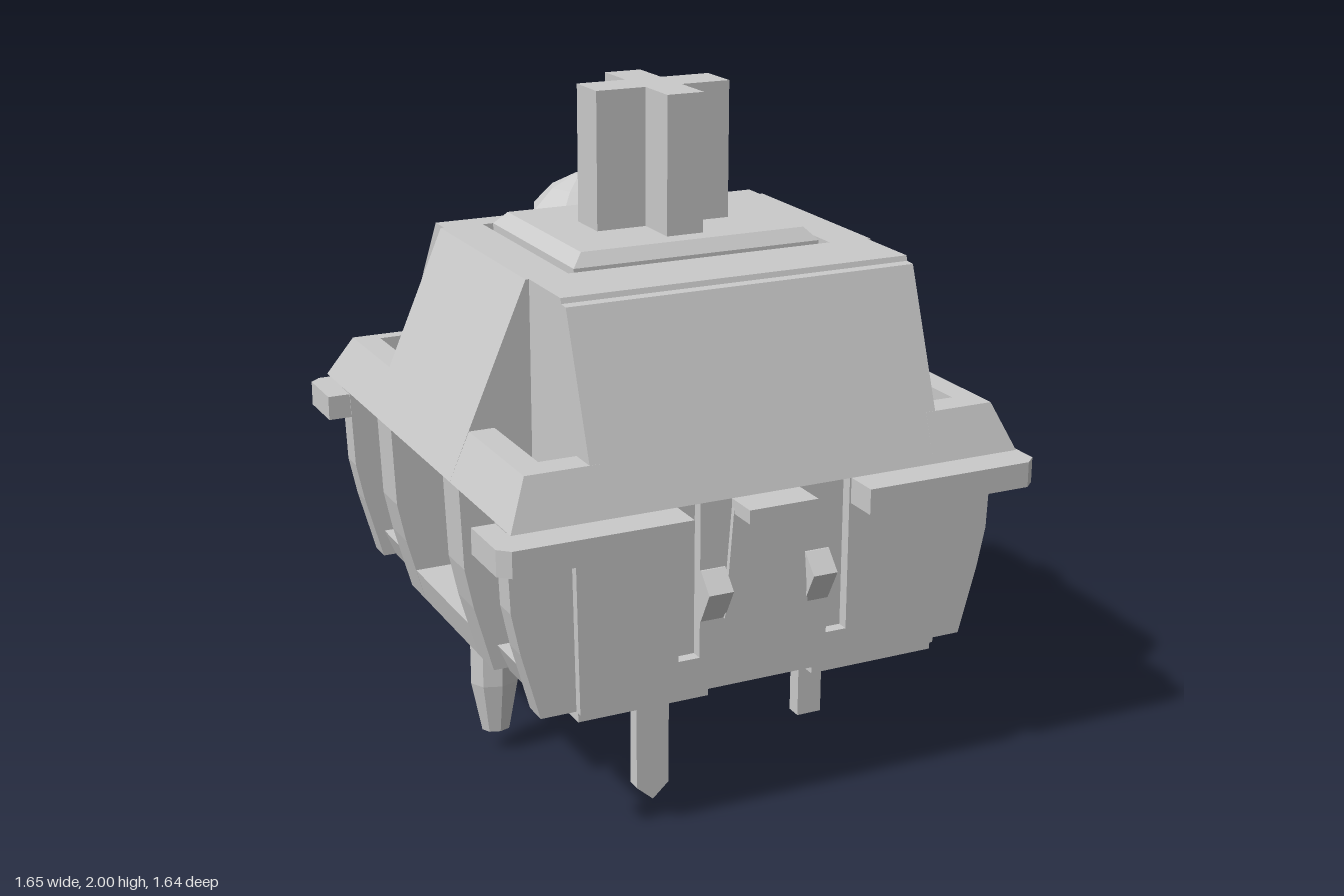
import * as THREE from 'three';

export function createModel() {
  const model = new THREE.Group();
  model.name = 'keySwitch';
  const grey = new THREE.MeshStandardMaterial({ color: 0xcacaca });
  grey.name = 'plain grey';

  const add = (name, geometry, x = 0, y = 0, z = 0) => {
    const flat = geometry.index ? geometry.toNonIndexed() : geometry;
    flat.computeVertexNormals();
    const mesh = new THREE.Mesh(flat, grey);
    mesh.name = name;
    mesh.position.set(x, y, z);
    model.add(mesh);
    return mesh;
  };
  const shapeOf = pts => new THREE.Shape(pts.map(p => new THREE.Vector2(p[0], p[1])));
  const extrude = (pts, depth) => new THREE.ExtrudeGeometry(shapeOf(pts), { depth, bevelEnabled: false });
  // [z, y] profile swept from x0 to x1
  const alongX = (name, pts, x0, x1) => add(name, extrude(pts, x1 - x0).rotateY(-Math.PI / 2), x1);
  // [x, z] outline swept from y0 to y1
  const alongY = (name, pts, y0, y1) => add(name, extrude(pts, y1 - y0).rotateX(Math.PI / 2), 0, y1);
  // [x, y] outline swept from z0 to z1
  const alongZ = (name, pts, z0, z1) => add(name, extrude(pts, z1 - z0), 0, 0, z0);
  // Tapered block between two rectangles [x0, x1, z0, z1]
  const block = (name, y0, y1, low, high = low) => {
    const g = new THREE.BoxGeometry(1, 1, 1), p = g.attributes.position;
    for (let i = 0; i < p.count; i++) {
      const r = p.getY(i) > 0 ? high : low;
      p.setXYZ(i, p.getX(i) > 0 ? r[1] : r[0], p.getY(i) > 0 ? y1 : y0, p.getZ(i) > 0 ? r[3] : r[2]);
    }
    return add(name, g);
  };
  // Mirror a range, or a rectangle in x, to the chosen side
  const span = (s, a, b) => (s > 0 ? [a, b] : [-b, -a]);
  const sideRect = (s, [a, b, c, d]) => [...span(s, a, b), c, d];
  const lathe = (name, pts, sides, x, z, sz = 1) =>
    add(name, new THREE.LatheGeometry(pts.map(p => new THREE.Vector2(p[0], p[1])), sides).scale(1, 1, sz), x, 0, z);

  // ---- Upper housing: central body with a well for the stem
  const front = [[0.775, 1.01], [0.58, 1.538], [0.55, 1.54], [0.545, 1.555]];
  alongX('upperBody', [...front, [0.32, 1.555], [0.32, 1.48], [-0.32, 1.48], [-0.32, 1.555],
    [-0.4, 1.555], [-0.4, 1.01]], -0.41, 0.41);

  const rim = 1.147;
  for (const s of [1, -1]) {
    alongX('upperBodySide', [...front, [-0.4, 1.555], [-0.4, 1.01]], ...span(s, 0.41, 0.53));
    // sloping frame beside the lamp recess
    alongX('lampFrame', [[-0.4, 1.01], [-0.4, 1.555], [-0.775, 1.01]], ...span(s, 0.44, 0.53));
    // sloping rib in the middle of each side
    block('sideRib', 1.01, 1.555, sideRect(s, [0.53, 0.775, -0.33, 0.33]), sideRect(s, [0.53, 0.54, -0.33, 0.33]));
    // rim around the corner pockets
    block('sideRim', 1.01, rim, sideRect(s, [0.64, 0.775, -0.775, 0.775]), sideRect(s, [0.64, 0.715, -0.68, 0.725]));
    block('frontRim', 1.01, rim, sideRect(s, [0.5, 0.64, 0.64, 0.775]), sideRect(s, [0.5, 0.64, 0.64, 0.725]));
    block('backRim', 1.01, rim, sideRect(s, [0.12, 0.64, -0.775, -0.635]), sideRect(s, [0.12, 0.64, -0.68, -0.635]));
    // lamp recess floor
    block('recessFloor', 1.01, rim, sideRect(s, [0.12, 0.45, -0.66, -0.39]));
  }
  block('lampNotch', 1.01, 1.06, [-0.13, 0.13, -0.775, -0.39], [-0.13, 0.13, -0.74, -0.39]);

  // ---- Lamp with faceted dome and two leads
  lathe('lamp', [[0, 1.03], [0.14, 1.03], [0.163, 1.15], [0.163, 1.53], [0.1, 1.595], [0.02, 1.635], [0, 1.635]],
    8, 0, -0.52);
  for (const x of [-0.125, 0.125]) block('lampLead', 0, 0.45, [x - 0.028, x + 0.028, -0.545, -0.495]);

  // ---- Stem: slab with bevelled edge and a cross
  block('stemSlab', 1.47, 1.56, [-0.385, 0.385, -0.3, 0.3]);
  block('stemSlabBevel', 1.56, 1.597, [-0.385, 0.385, -0.3, 0.3], [-0.35, 0.35, -0.27, 0.27]);
  block('stemCrossArm', 1.58, 2, [-0.21, 0.21, -0.068, 0.068]);
  alongX('stemNotchedArm', [[0.21, 1.58], [0.21, 2], [-0.21, 2], [-0.21, 1.92], [-0.17, 1.92],
    [-0.17, 1.775], [-0.21, 1.775], [-0.21, 1.58]], -0.057, 0.057);

  // ---- Lower housing core, deeper behind the side windows
  block('lowerCore', 0.43, 1.01, [-0.56, 0.56, -0.68, 0.68]);

  // curved outer profile of the side ribs, and the sills cut from it, [x, y]
  const onSide = (s, pts) => pts.map(([x, y]) => [s * x, y]);
  const rib = [[0.5, 0.43], [0.665, 0.43], [0.72, 0.63], [0.745, 0.75], [0.755, 0.995], [0.5, 0.995]];
  const sill = [[0.5, 0.43], [0.665, 0.43], [0.692, 0.53], [0.5, 0.53]];
  // recessed panel with a ledge below and a lip above
  const panel = [[0.5, 0.43], [0.625, 0.43], [0.66, 0.515], [0.605, 0.515], [0.605, 0.985], [0.635, 1.01], [0.5, 1.01]];
  for (const s of [1, -1]) {
    alongZ('windowSill', onSide(s, sill), -0.22, 0.22);
    for (const e of [1, -1]) {
      alongZ('sidePost', onSide(s, rib), ...span(e, 0.22, 0.345));
      alongZ('cornerRib', onSide(s, rib), ...span(e, 0.612, 0.688));
      alongZ('sidePanel', onSide(s, panel), ...span(e, 0.365, 0.612));
      // corner flange
      alongY('cornerFlange', [[0.27, 0.66], [0.27, 0.82], [0.79, 0.82], [0.823, 0.79], [0.823, 0.615],
        [0.66, 0.615]].map(([x, z]) => [s * x, e * z]), 0.91, 0.985);
      // shallow foot under each corner
      block('cornerFoot', 0.403, 0.43, [...span(s, 0.165, 0.56), ...span(e, 0.35, 0.7)]);
    }
  }

  // ---- Front and back walls with slots, clip and snap wedges
  const half = [[0.2, 0.99], [0.2, 0.53], [0.265, 0.53], [0.265, 0.99], [0.57, 0.99], [0.56, 0.43]];
  const wall = [...half, ...onSide(-1, half).reverse()];
  for (const e of [1, -1]) {
    alongZ('endWall', wall, ...span(e, 0.66, 0.715));
    alongZ('clip', [[-0.13, 0.64], [0.13, 0.64], [0.105, 0.96], [-0.105, 0.96]], ...span(e, 0.7, 0.73));
    block('clipTab', 0.945, 0.985, [-0.105, 0.105, ...span(e, 0.66, 0.82)]);
    for (const s of [1, -1]) {
      alongX('snapWedge', [[0.69, 0.64], [0.72, 0.64], [0.772, 0.735], [0.72, 0.79], [0.69, 0.79]]
        .map(([z, y]) => [e * z, y]), ...span(s, 0.125, 0.2));
    }
  }

  // ---- Centre post with flared foot and hollow end
  lathe('centrePost', [[0, 0.16], [0.065, 0.16], [0.065, 0.11], [0.13, 0.11], [0.195, 0.225],
    [0.16, 0.23], [0.16, 0.45]], 10, 0, 0);

  // ---- Side guide posts
  for (const x of [-0.53, 0.53]) {
    lathe('guidePost', [[0, 0.07], [0.045, 0.07], [0.077, 0.23], [0.077, 0.45]], 8, x, 0, 0.8);
  }

  // ---- Contact pins
  alongZ('pointedPin', [[-0.323, 0.45], [-0.323, 0.085], [-0.272, 0.04], [-0.222, 0.085], [-0.222, 0.45]], 0.525, 0.567);
  block('contactPin', 0.06, 0.45, [0.345, 0.425, 0.26, 0.31]);

  return model;
}
